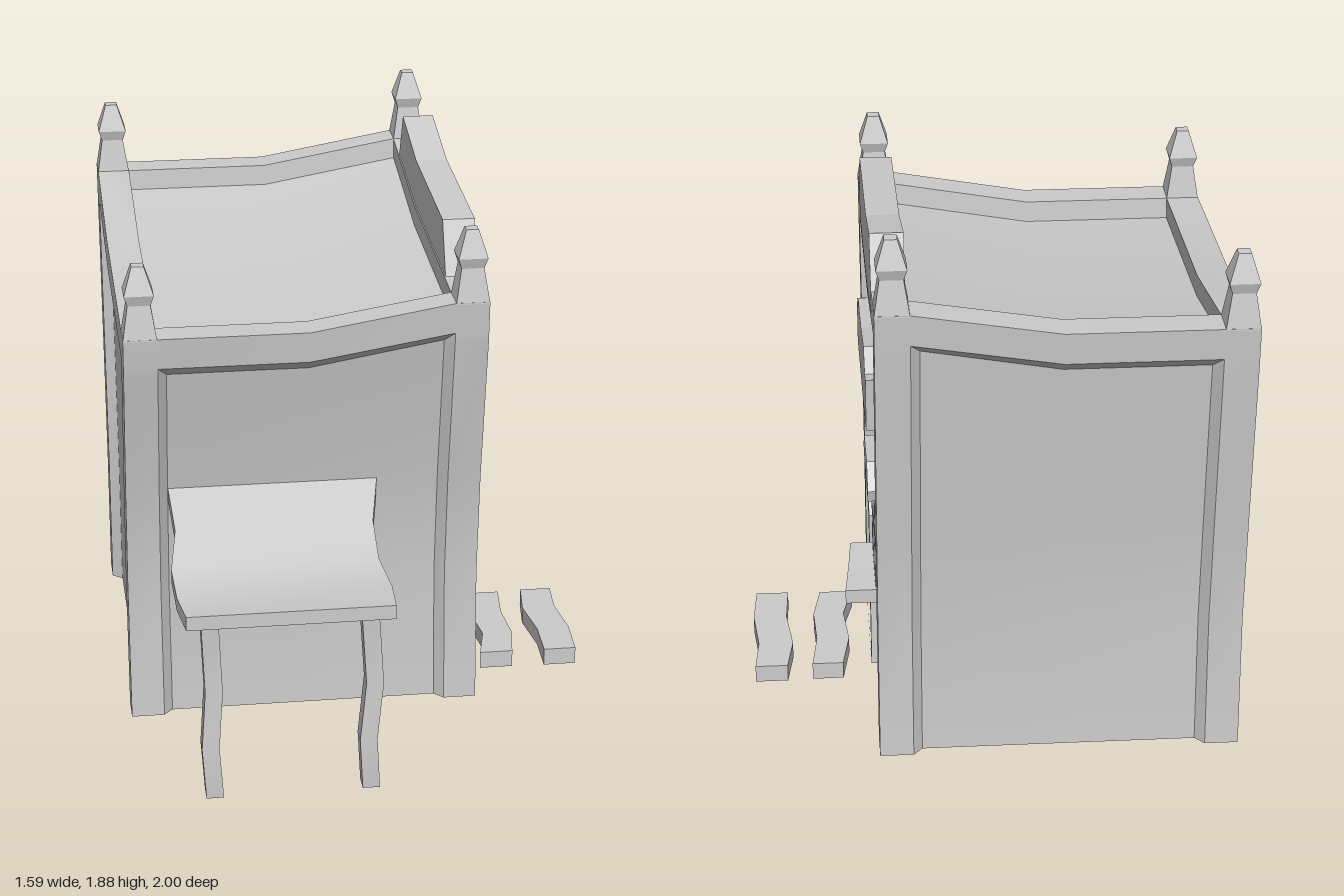
import * as THREE from 'three';
import { toCreasedNormals } from 'three/addons/utils/BufferGeometryUtils.js';

const grey = new THREE.MeshStandardMaterial({ color: 0xcccccc });
const clamp = THREE.MathUtils.clamp;

// piecewise-linear lookup through [input, output] pairs
function ramp(pairs, v) {
  if (v <= pairs[0][0]) return pairs[0][1];
  for (let i = 1; i < pairs.length; i++) {
    const [a, p] = pairs[i - 1], [b, q] = pairs[i];
    if (v <= b) return p + (q - p) * (v - a) / (b - a);
  }
  return pairs[pairs.length - 1][1];
}

// skin closed rings of [x, y, z] points; ends are closed by fans around a hub
function loft(rings, crease = 0.5, endHub) {
  const pos = [], n = rings[0].length;
  const tri = (a, b, c) => pos.push(...a, ...b, ...c);
  for (let r = 0; r + 1 < rings.length; r++) {
    for (let i = 0; i < n; i++) {
      const j = (i + 1) % n;
      tri(rings[r][i], rings[r][j], rings[r + 1][j]);
      tri(rings[r][i], rings[r + 1][j], rings[r + 1][i]);
    }
  }
  const centre = ring => [0, 1, 2].map(k => ring.reduce((s, p) => s + p[k], 0) / n);
  const first = rings[0], last = rings[rings.length - 1];
  const c0 = centre(first), c1 = endHub || centre(last);
  for (let i = 0; i < n; i++) {
    const j = (i + 1) % n;
    tri(first[j], first[i], c0);
    tri(last[i], last[j], c1);
  }
  const geo = new THREE.BufferGeometry();
  geo.setAttribute('position', new THREE.Float32BufferAttribute(pos, 3));
  return toCreasedNormals(geo, crease);
}

// plank running along z, stations are [z, topY, leftX, rightX]
const strip = (stations, thick) => loft(stations.map(([z, y, a, b]) =>
  [[a, y - thick, z], [b, y - thick, z], [b, y, z], [a, y, z]]));

// crooked square post, stations are [y, x, z]
const post = (stations, hx, hz) => loft(stations.map(([y, x, z]) =>
  [[x - hx, y, z + hz], [x + hx, y, z + hz], [x + hx, y, z - hz], [x - hx, y, z - hz]]));

// slab lying on the right-hand wall: outline in [z, y], from x0 to x1
function slab(outline, x0, x1, holes = []) {
  const vec = pts => pts.map(([z, y]) => new THREE.Vector2(-z, y));
  const shape = new THREE.Shape(vec(outline));
  holes.forEach(h => shape.holes.push(new THREE.Path(vec(h))));
  const geo = new THREE.ExtrudeGeometry(shape, { depth: x1 - x0, bevelEnabled: false });
  return geo.rotateY(Math.PI / 2).translate(x0, 0, 0);
}

// building limits, and the lean of its front and back by height
const X0 = -0.8, X1 = 0.38, Z0 = -1, Z1 = 0.505, MX = -0.2, MZ = -0.38, P = 0.11;
const frontLean = [[0.02, 0.355], [0.485, 0.338], [0.86, 0.385], [1.34, 0.488], [1.5, 0.505]];
const backLean = [[0.02, -0.9], [0.485, -0.885], [0.86, -0.92], [1.3, -0.972], [1.65, -1]];
function warpZ(z, y) {
  const wf = clamp((z - MZ) / 0.74, 0, 1), wb = clamp((MZ - z) / 0.47, 0, 1);
  return z + wf * (ramp(frontLean, y) - Z1) + wb * (ramp(backLean, y) - Z0);
}
// sagging roof line
const topY = (x, z) => 1.43 + 0.08 * clamp((x - MX) / 0.47, 0, 1)
  + ramp([[-0.88, 0.14], [MZ, 0.045], [0.38, 0]], z);

function bodyGeometry() {
  const D = 0.035, B = 0.03;                     // wall recess depth, bevel width
  const sides = [
    { len: X1 - X0, mid: MX - X0, at: (s, d) => [X0 + s, Z1 - d] },
    { len: Z1 - Z0, mid: Z1 - MZ, at: (s, d) => [X1 - d, Z1 - s] },
    { len: X1 - X0, mid: X1 - MX, at: (s, d) => [X1 - s, Z0 + d] },
    { len: Z1 - Z0, mid: MZ - Z0, at: (s, d) => [X0 + d, Z0 + s] },
  ];
  const outer = [], inner = [];
  for (const { len, mid, at } of sides) {
    outer.push(at(0, 0), at(P, 0), at(P, 0), at(mid, 0), at(len - P, 0), at(len - P, 0));
    inner.push(at(0, 0), at(P, 0), at(P + B, D), at(mid, D), at(len - P - B, D), at(len - P, 0));
  }
  const inset = outer.map(([x, z]) => [clamp(x, X0 + P, X1 - P), clamp(z, Z0 + P, Z1 - P)]);
  const row = (plan, height) => plan.map(([x, z], i) => {
    const y = height(topY(...outer[i]));
    return [x, y, warpZ(z, y)];
  });
  const rings = [
    row(inner, () => 0.02), row(inner, () => 0.485), row(inner, () => 0.86),
    row(inner, t => t - 0.14), row(outer, t => t - 0.105), row(outer, t => t),
    row(inset, t => t), row(inset, t => t - 0.07),
  ];
  return loft(rings, 0.45, [MX, topY(MX, MZ) - 0.07, MZ]);
}

export function createModel() {
  const model = new THREE.Group();
  const add = (name, geo, parent = model) => {
    const mesh = new THREE.Mesh(geo, grey);
    mesh.name = name;
    parent.add(mesh);
    return mesh;
  };
  const group = name => {
    const g = new THREE.Group();
    g.name = name;
    model.add(g);
    return g;
  };

  // walls, corner pillars, parapet and roof
  add('building', bodyGeometry());
  add('raisedParapet', slab([[0.27, 1.5], [0.19, 1.69], [-0.38, 1.72], [-0.69, 1.79],
    [-0.77, 1.63], [-0.77, 1.56], [-0.38, 1.48], [0.27, 1.44]], 0.274, 0.381));

  // corner finials
  const profile = [[0.055, -0.005], [0.037, 0.11], [0.048, 0.145], [0.02, 0.235], [0, 0.235]]
    .map(([r, y]) => new THREE.Vector2(r * Math.SQRT2, y));
  const finial = new THREE.LatheGeometry(profile, 4).rotateY(Math.PI / 4).toNonIndexed();
  finial.computeVertexNormals();
  const finials = group('finials');
  for (const x of [X0 + P / 2, X1 - P / 2]) {
    for (const z of [Z0 + P / 2, Z1 - P / 2]) {
      const y = topY(x, z);
      add('finial', finial, finials).position.set(x, y, warpZ(z, y));
    }
  }

  // awning on two crooked posts
  const awning = group('awning');
  add('awningRoof', strip([[0.33, 0.86, -0.66, 0.04], [0.52, 0.775, -0.65, 0], [0.66, 0.7, -0.675, 0],
    [0.82, 0.675, -0.67, 0.02], [1, 0.692, -0.655, 0.008]], 0.047), awning);
  add('awningPost', post([[0.02, -0.57, 0.918], [0.2, -0.582, 0.925], [0.39, -0.567, 0.905],
    [0.65, -0.578, 0.92]], 0.028, 0.032), awning);
  add('awningPost', post([[0.02, -0.063, 0.915], [0.2, -0.073, 0.925], [0.39, -0.05, 0.905],
    [0.65, -0.067, 0.918]], 0.028, 0.032), awning);

  // arched door with two boards
  const door = group('door');
  const opening = [[0.005, 0.03], [-0.01, 0.3], [0.005, 0.475], [-0.02, 0.575], [-0.1, 0.625],
    [-0.19, 0.62], [-0.26, 0.56], [-0.27, 0.43], [-0.255, 0.27], [-0.28, 0.03]];
  add('doorFrame', slab([[0.045, 0.02], [0.03, 0.28], [0.07, 0.43], [0.05, 0.59], [-0.02, 0.69],
    [-0.12, 0.72], [-0.235, 0.7], [-0.32, 0.6], [-0.305, 0.405], [-0.32, 0.02]], 0.33, 0.386, [opening]), door);
  add('doorLeaf', slab(opening, 0.33, 0.355), door);
  add('doorBoard', slab([[-0.03, 0.44], [-0.215, 0.47], [-0.215, 0.395], [-0.04, 0.37]], 0.35, 0.367), door);
  add('doorBoard', slab([[-0.045, 0.24], [-0.21, 0.23], [-0.21, 0.165], [-0.045, 0.175]], 0.35, 0.367), door);

  // four-pane window with lintel and sill
  const win = group('window');
  const panes = [];
  for (const [a, b] of [[-0.41, -0.51], [-0.535, -0.635]]) {
    for (const [c, d] of [[0.54, 0.68], [0.705, 0.84]]) panes.push([[a, c], [b, c], [b, d], [a, d]]);
  }
  add('windowFrame', slab([[-0.375, 0.5], [-0.385, 0.88], [-0.665, 0.88], [-0.65, 0.5]], 0.33, 0.378, panes), win);
  add('windowLintel', slab([[-0.35, 0.9], [-0.395, 0.925], [-0.43, 0.96], [-0.645, 0.975],
    [-0.71, 0.9], [-0.7, 0.86], [-0.355, 0.865]], 0.33, 0.4), win);
  add('windowSill', strip([[-0.67, 0.515, 0.33, 0.477], [-0.5, 0.515, 0.33, 0.462],
    [-0.36, 0.52, 0.33, 0.452]], 0.048), win);

  // blank sign board
  add('signBoard', slab([[0.165, 1.185], [0.045, 1.2], [0.01, 1.255], [-0.27, 1.275], [-0.53, 1.33],
    [-0.61, 1.27], [-0.685, 1.285], [-0.67, 1.1], [-0.29, 1.06], [0.14, 1.035]], 0.33, 0.4));

  // stepping planks on the ground
  const planks = group('planks');
  add('plank', strip([[-0.375, 0.06, 0.485, 0.59], [-0.21, 0.06, 0.46, 0.572], [-0.04, 0.06, 0.475, 0.58],
    [0.11, 0.06, 0.44, 0.555]], 0.06), planks);
  add('plank', strip([[-0.38, 0.06, 0.675, 0.785], [-0.23, 0.06, 0.655, 0.773], [-0.05, 0.06, 0.675, 0.79],
    [0.115, 0.06, 0.668, 0.78]], 0.06), planks);

  return model;
}
